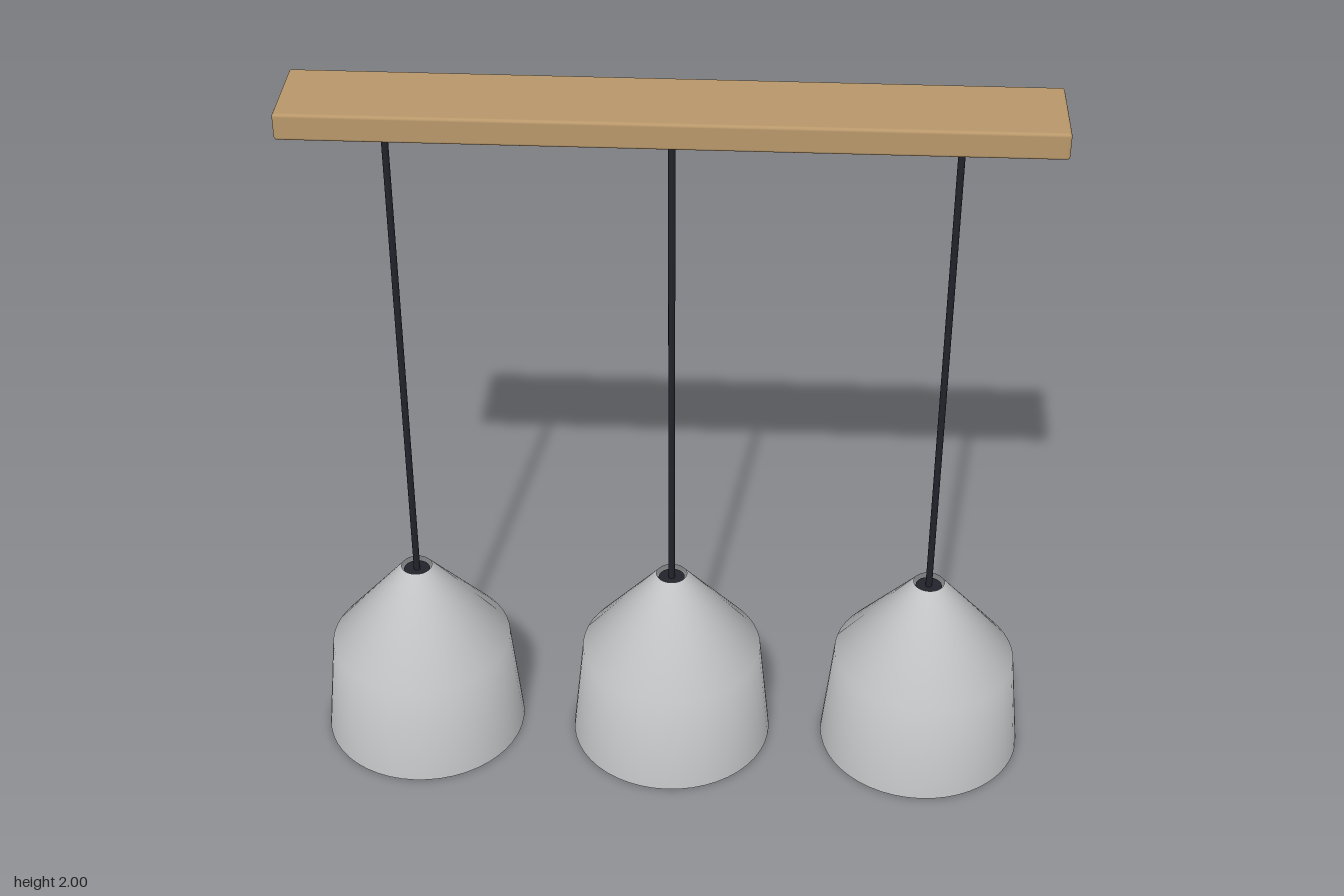
import * as THREE from 'three';
import { RoundedBoxGeometry } from 'three/addons/geometries/RoundedBoxGeometry.js';

export function createModel() {
  const material = (name, color, side = THREE.FrontSide) => {
    const m = new THREE.MeshStandardMaterial({ color, side });
    m.name = name;
    return m;
  };
  const wood = material('wood', 0xb8976a);
  const shadeGrey = material('shade grey', 0xc2c4c6, THREE.DoubleSide);
  const cordBlack = material('cord black', 0x22232b);
  const bulbCream = material('bulb cream', 0xe0d2b4);

  const add = (parent, name, geometry, mat, y) => {
    const mesh = new THREE.Mesh(geometry, mat);
    mesh.name = name;
    mesh.position.y = y;
    parent.add(mesh);
  };

  const model = new THREE.Group();
  model.name = 'pendantLamp';

  // Ceiling bar with softened edges
  add(model, 'ceilingBar', new RoundedBoxGeometry(1.91, 0.07, 0.247, 3, 0.008), wood, 1.965);

  // Open shade: steep skirt, then a cone up to a small hole
  const profile = [[0.28, 0], [0.25, 0.295], [0.042, 0.547]];
  const shade = new THREE.LatheGeometry(profile.map(([r, y]) => new THREE.Vector2(r, y)), 48);
  const cord = new THREE.CylinderGeometry(0.009, 0.009, 1.39, 12);
  const socket = new THREE.CylinderGeometry(0.036, 0.036, 0.32, 20);
  const bulb = new THREE.SphereGeometry(0.078, 24, 16);

  // Three identical pendants
  for (const x of [-0.708, 0, 0.708]) {
    const pendant = new THREE.Group();
    pendant.name = 'pendant';
    pendant.position.x = x;
    add(pendant, 'cord', cord, cordBlack, 1.227);
    add(pendant, 'shade', shade, shadeGrey, 0);
    add(pendant, 'socket', socket, cordBlack, 0.375);
    add(pendant, 'bulb', bulb, bulbCream, 0.152);
    model.add(pendant);
  }
  return model;
}
